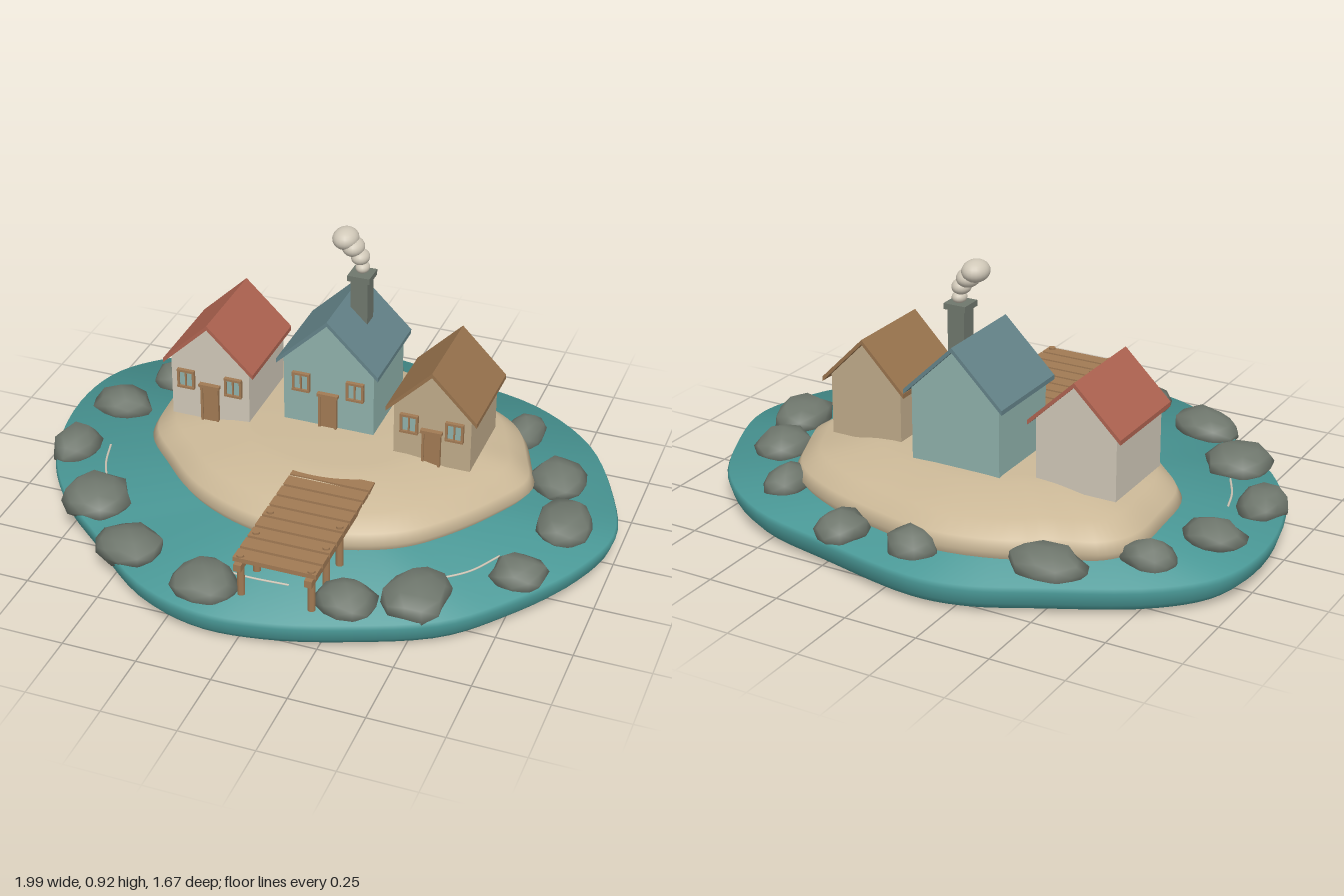
import * as THREE from 'three';
import { mergeVertices } from 'three/addons/utils/BufferGeometryUtils.js';

const mat = (name, color) => {
  const m = new THREE.MeshStandardMaterial({ color });
  m.name = name;
  return m;
};

export function createModel() {
  const M = {
    water: mat('water', 0x4a9997), sand: mat('sand', 0xcbb897), rock: mat('stone', 0x6f776d),
    wood: mat('wood', 0xa17a54), cream: mat('cream', 0xd0c8b8), teal: mat('pale teal', 0x8fb1ab),
    tan: mat('tan', 0xbfab8a), red: mat('red roof', 0xae6350), slate: mat('slate roof', 0x648389),
    brown: mat('brown roof', 0x98734d),
  };
  const root = new THREE.Group();
  root.name = 'fishingIsland';

  const add = (parent, name, geo, material, x = 0, y = 0, z = 0) => {
    const mesh = new THREE.Mesh(geo, material);
    mesh.name = name;
    mesh.position.set(x, y, z);
    parent.add(mesh);
    return mesh;
  };
  const box = (parent, name, material, w, h, d, x, y, z) =>
    add(parent, name, new THREE.BoxGeometry(w, h, d), material, x, y, z);
  const group = (name) => {
    const g = new THREE.Group();
    g.name = name;
    root.add(g);
    return g;
  };

  // Smooth solid: one closed outline (x, z) scaled about (0, cz) at each [y, scale] ring
  const loft = (outline, rings, cz, n = 96) => {
    const curve = new THREE.CatmullRomCurve3(outline.map(([x, z]) => new THREE.Vector3(x, 0, z - cz)), true);
    const seg = rings.slice(1).map(([y, s], i) =>
      new THREE.Vector2(y - rings[i][0], (rings[i][1] - s) * 0.7).normalize());
    const pos = [], nor = [], idx = [];
    rings.forEach(([y, s], i) => {
      const slope = new THREE.Vector2();
      if (i > 0) slope.add(seg[i - 1]);
      if (i < seg.length) slope.add(seg[i]);
      slope.normalize();
      for (let j = 0; j < n; j++) {
        const p = curve.getPoint(j / n), t = curve.getTangent(j / n);
        pos.push(p.x * s, y, p.z * s + cz);
        nor.push(t.z * slope.x, slope.y, -t.x * slope.x);
        if (i < seg.length) {
          const a = i * n + j, b = i * n + (j + 1) % n;
          idx.push(a, a + n, b, b, a + n, b + n);
        }
      }
    });
    const g = new THREE.BufferGeometry();
    g.setAttribute('position', new THREE.Float32BufferAttribute(pos, 3));
    g.setAttribute('normal', new THREE.Float32BufferAttribute(nor, 3));
    g.setIndex(idx);
    return g;
  };

  // Water slab
  add(root, 'water', loft([
    [-0.12, -0.84], [0.25, -0.77], [0.55, -0.69], [0.78, -0.52], [0.92, -0.28], [0.995, -0.03], [0.93, 0.2],
    [0.78, 0.43], [0.62, 0.6], [0.35, 0.73], [0.1, 0.81], [-0.13, 0.83], [-0.35, 0.76], [-0.6, 0.56],
    [-0.8, 0.38], [-0.94, 0.15], [-1.0, -0.16], [-0.96, -0.38], [-0.82, -0.54], [-0.5, -0.72], [-0.3, -0.815],
  ], [[0, 0], [0, 0.9], [0.015, 0.96], [0.04, 0.985], [0.085, 1], [0.1, 0.993], [0.1, 0]], 0), M.water);

  // Sandy island
  add(root, 'island', loft([
    [-0.1, -0.67], [0.15, -0.63], [0.38, -0.56], [0.55, -0.45], [0.64, -0.27], [0.68, -0.14], [0.62, 0.0],
    [0.5, 0.18], [0.38, 0.3], [0.2, 0.38], [0, 0.4], [-0.2, 0.36], [-0.38, 0.27], [-0.52, 0.14],
    [-0.64, 0.0], [-0.67, -0.2], [-0.67, -0.38], [-0.6, -0.48], [-0.45, -0.54], [-0.35, -0.61],
  ], [[0.07, 0], [0.07, 0.93], [0.13, 1], [0.165, 0.97], [0.21, 0.87], [0.25, 0.58], [0.256, 0.5], [0.256, 0]], -0.13), M.sand);

  // Shore rocks: [x, z, radius x, radius z]
  const rocks = group('rocks');
  let seed = 7;
  const rand = () => (seed = (seed * 16807) % 2147483647) / 2147483647;
  [[-0.47, -0.59, 0.13, 0.09], [-0.72, -0.395, 0.09, 0.075], [-0.83, -0.165, 0.1, 0.085], [-0.875, 0.12, 0.08, 0.1],
    [-0.67, 0.385, 0.115, 0.12], [-0.45, 0.6, 0.125, 0.1], [-0.15, 0.69, 0.11, 0.1], [0.3, 0.625, 0.095, 0.095],
    [0.495, 0.525, 0.105, 0.13], [0.765, 0.305, 0.095, 0.08], [0.825, -0.005, 0.1, 0.125], [0.74, -0.25, 0.095, 0.11],
    [0.555, -0.49, 0.07, 0.095], [0.215, -0.69, 0.085, 0.09], [-0.04, -0.68, 0.09, 0.075],
  ].forEach(([x, z, rx, rz]) => {
    let g = new THREE.IcosahedronGeometry(1, 1);
    g.deleteAttribute('normal');
    g.deleteAttribute('uv');
    g = mergeVertices(g, 1e-3);
    const p = g.attributes.position;
    for (let i = 0; i < p.count; i++) {
      const k = 0.86 + 0.26 * rand();
      p.setXYZ(i, p.getX(i) * k * rx, p.getY(i) * k * 0.06, p.getZ(i) * k * rz);
    }
    g.computeVertexNormals();
    add(rocks, 'rock', g, M.rock, x, 0.115, z);
  });

  // Foam lines on the water
  const foam = group('foam');
  [[[-0.77, 0.07], [-0.74, 0.17], [-0.69, 0.27]], [[0.675, 0.22], [0.61, 0.33], [0.52, 0.41]],
    [[-0.22, 0.58], [-0.06, 0.605], [0.1, 0.6]]].forEach((pts) => {
    const c = new THREE.CatmullRomCurve3(pts.map(([x, z]) => new THREE.Vector3(x, 0.101, z)));
    add(foam, 'foamLine', new THREE.TubeGeometry(c, 16, 0.004, 6), M.cream);
  });

  // Houses: gabled walls, chevron roof, framed door and two windows
  const extrude = (pts, depth) => new THREE.ExtrudeGeometry(
    new THREE.Shape(pts.map(([x, y]) => new THREE.Vector2(x, y))), { depth, bevelEnabled: false });

  const house = ({ name, x, half, roofHalf, peak, tip, back, front, doorTop, winX, winY, walls, roof }) => {
    const g = group(name);
    g.position.x = x;
    const t = 0.016, base = 0.235;
    const eave = peak - t - (peak - tip) * half / roofHalf;
    const wz = front - 0.02;
    add(g, 'walls', extrude([[-half, base], [half, base], [half, eave], [0, peak - t], [-half, eave]],
      wz - back - 0.02), walls, 0, 0, back + 0.02);
    add(g, 'roof', extrude([[-roofHalf, tip], [-roofHalf, tip - t], [0, peak - t], [roofHalf, tip - t],
      [roofHalf, tip], [0, peak]], front - back), roof, 0, 0, back);

    // Door
    const h = doorTop - base;
    box(g, 'door', M.wood, 0.052, h, 0.01, 0, base + h / 2, wz + 0.003);
    for (const s of [-1, 1]) box(g, 'doorJamb', M.wood, 0.008, h, 0.016, s * 0.028, base + h / 2, wz + 0.006);
    box(g, 'doorLintel', M.wood, 0.074, 0.011, 0.02, 0, doorTop - 0.005, wz + 0.008);

    // Windows
    for (const s of [-1, 1]) {
      const cx = s * winX;
      box(g, 'windowPane', M.teal, 0.056, 0.062, 0.006, cx, winY, wz + 0.003);
      for (const k of [-1, 0, 1]) {
        box(g, 'windowUpright', M.wood, k ? 0.008 : 0.005, 0.07, 0.014, cx + k * 0.027, winY, wz + 0.005);
        if (k) box(g, 'windowRail', M.wood, 0.062, 0.008, 0.016, cx, winY + k * 0.031, wz + 0.006);
      }
    }
  };
  house({ name: 'leftHouse', x: -0.4225, half: 0.141, roofHalf: 0.163, peak: 0.612, tip: 0.455, back: -0.345,
    front: 0.008, doorTop: 0.377, winX: 0.086, winY: 0.383, walls: M.cream, roof: M.red });
  house({ name: 'middleHouse', x: -0.023, half: 0.16, roofHalf: 0.18, peak: 0.67, tip: 0.495, back: -0.405,
    front: -0.062, doorTop: 0.387, winX: 0.096, winY: 0.415, walls: M.teal, roof: M.slate });
  house({ name: 'rightHouse', x: 0.364, half: 0.133, roofHalf: 0.156, peak: 0.595, tip: 0.437, back: -0.325,
    front: 0.005, doorTop: 0.37, winX: 0.078, winY: 0.38, walls: M.tan, roof: M.brown });

  // Chimney and smoke puffs
  box(root, 'chimney', M.rock, 0.06, 0.25, 0.06, 0.03, 0.63, -0.257);
  box(root, 'chimneyCap', M.rock, 0.078, 0.02, 0.078, 0.03, 0.757, -0.257);
  const smoke = group('smoke');
  [[0.03, 0.785, 0.026], [0.022, 0.822, 0.034], [-0.003, 0.855, 0.041], [-0.03, 0.882, 0.048]].forEach(([x, y, r]) => {
    const puff = add(smoke, 'smokePuff', new THREE.SphereGeometry(r, 20, 14), M.cream, x, y, -0.262);
    puff.scale.set(0.92, 0.76, 1.08);
  });

  // Dock
  const dock = group('dock');
  for (let i = 0; i < 9; i++) box(dock, 'plank', M.wood, 0.276, 0.016, 0.05, 0.092, 0.237, 0.19 + i * 0.061);
  for (const x of [-0.025, 0.21]) {
    box(dock, 'stringer', M.wood, 0.025, 0.025, 0.54, x, 0.217, 0.45);
    for (const z of [0.44, 0.56, 0.69])
      add(dock, 'post', new THREE.CylinderGeometry(0.013, 0.013, 0.18, 8), M.wood, x, 0.162, z);
  }
  return root;
}
